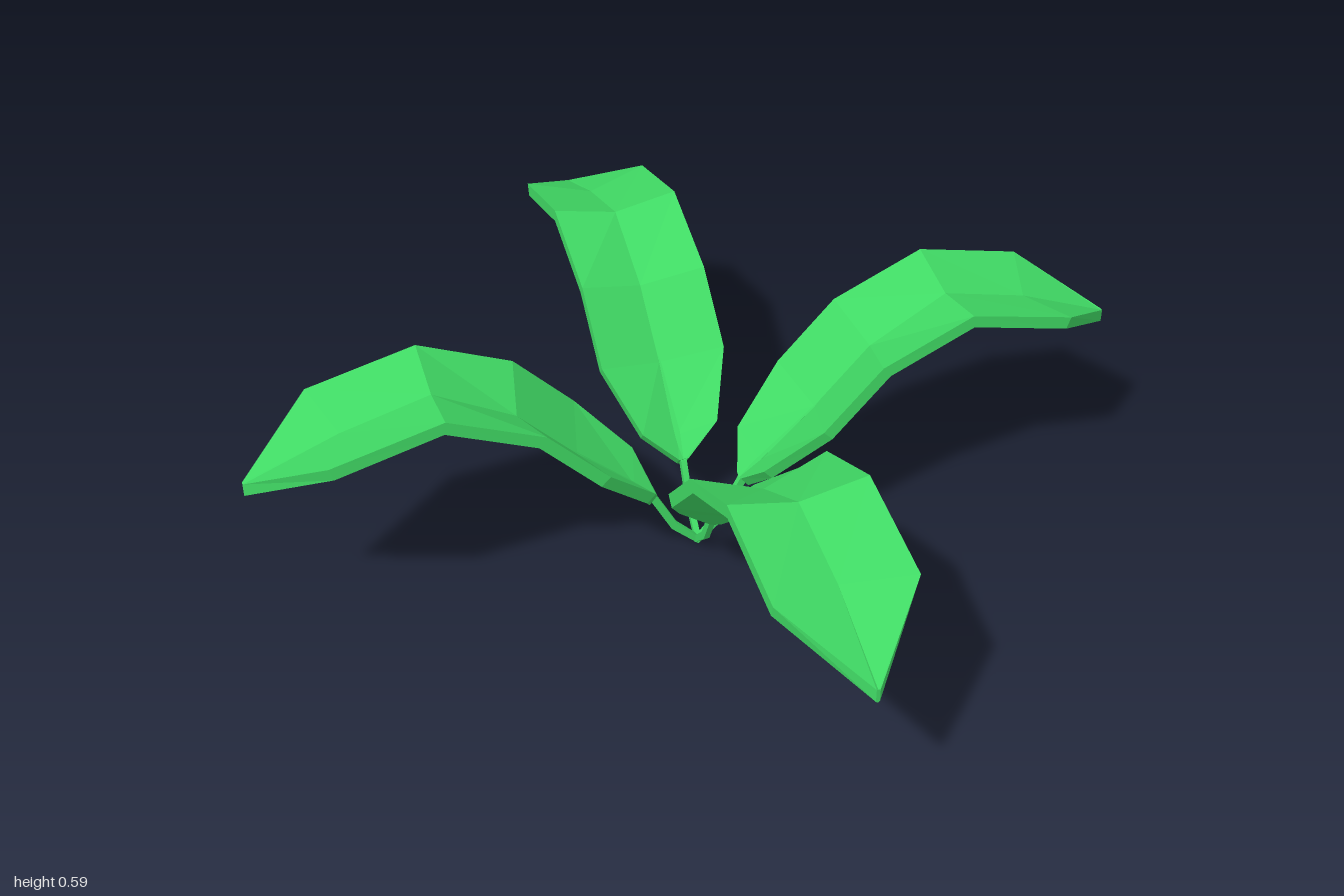
import * as THREE from 'three';

// Skin a list of equal-length cross-section loops, with both ends closed.
function loft(sections) {
  const pos = [];
  const tri = (a, b, c) => [a, b, c].forEach((p) => pos.push(p.x, p.y, p.z));
  const n = sections[0].length;
  for (let i = 0; i < sections.length - 1; i++) {
    const s = sections[i], t = sections[i + 1];
    for (let j = 0; j < n; j++) {
      const k = (j + 1) % n;
      tri(s[j], s[k], t[k]);
      tri(s[j], t[k], t[j]);
    }
  }
  const first = sections[0], last = sections[sections.length - 1];
  for (let j = 1; j < n - 1; j++) {
    tri(first[0], first[j + 1], first[j]);
    tri(last[0], last[j], last[j + 1]);
  }
  const geo = new THREE.BufferGeometry();
  geo.setAttribute('position', new THREE.Float32BufferAttribute(pos, 3));
  geo.computeVertexNormals();
  return geo;
}

// Offset pointing straight through the blade, from its upper to its lower face.
function downNormal(rows, i, thickness) {
  const a = rows[Math.max(i - 1, 0)], b = rows[Math.min(i + 1, rows.length - 1)];
  const d = new THREE.Vector2(b[0] - a[0], b[1] - a[1]).normalize();
  return new THREE.Vector3(d.y * thickness, -d.x * thickness, 0);
}

// Blade: rib x, rib y, edge x, edge y, half width, sideways drift
const BLADE = [
  [0.10, 0.165, 0.10, 0.17, 0.012, 0],
  [0.15, 0.205, 0.127, 0.24, 0.09, 0],
  [0.28, 0.325, 0.245, 0.36, 0.148, -0.002],
  [0.41, 0.46, 0.38, 0.50, 0.148, -0.006],
  [0.59, 0.56, 0.59, 0.59, 0.148, -0.011],
  [0.79, 0.51, 0.835, 0.533, 0.148, -0.017],
  [1.00, 0.427, 1.00, 0.43, 0.004, -0.017],
];

// Stalk: x, y along its upper side
const STALK = [[0, 0.02], [0.05, 0.07], [0.10, 0.165], [0.15, 0.209], [0.29, 0.336]];

function bladeGeometry() {
  return loft(BLADE.map(([rx, ry, ex, ey, w, z], i) => {
    const down = i === BLADE.length - 1 ? new THREE.Vector3(0, -0.03, 0) : downNormal(BLADE, i, 0.03);
    const top = [
      new THREE.Vector3(ex, ey, z - w),
      new THREE.Vector3(rx, ry, z),
      new THREE.Vector3(ex, ey, z + w),
    ];
    return [...top, ...top.map((p) => p.clone().add(down)).reverse()];
  }));
}

function stalkGeometry() {
  return loft(STALK.map(([x, y], i) => {
    const down = i === 0 ? new THREE.Vector3(0, -0.02, 0) : downNormal(STALK, i, 0.018);
    const w = i === STALK.length - 1 ? 0.002 : 0.007;
    const top = [new THREE.Vector3(x, y, -w), new THREE.Vector3(x, y, w)];
    return [...top, ...top.map((p) => p.clone().add(down)).reverse()];
  }));
}

export function createModel() {
  const plant = new THREE.Group();
  plant.name = 'plant';
  const leafGreen = new THREE.MeshStandardMaterial({ color: 0x40d964 });
  leafGreen.name = 'leafGreen';
  leafGreen.flatShading = true;

  const bladeGeo = bladeGeometry(), stalkGeo = stalkGeometry();
  const names = ['left', 'back', 'right', 'front'];

  // Four identical arching leaves around the root
  names.forEach((side, i) => {
    const leaf = new THREE.Group();
    leaf.name = side + 'Leaf';
    const blade = new THREE.Mesh(bladeGeo, leafGreen);
    blade.name = side + 'Blade';
    const stalk = new THREE.Mesh(stalkGeo, leafGreen);
    stalk.name = side + 'Stalk';
    leaf.add(blade, stalk);
    leaf.rotation.y = (i * Math.PI) / 2;
    plant.add(leaf);
  });
  return plant;
}
